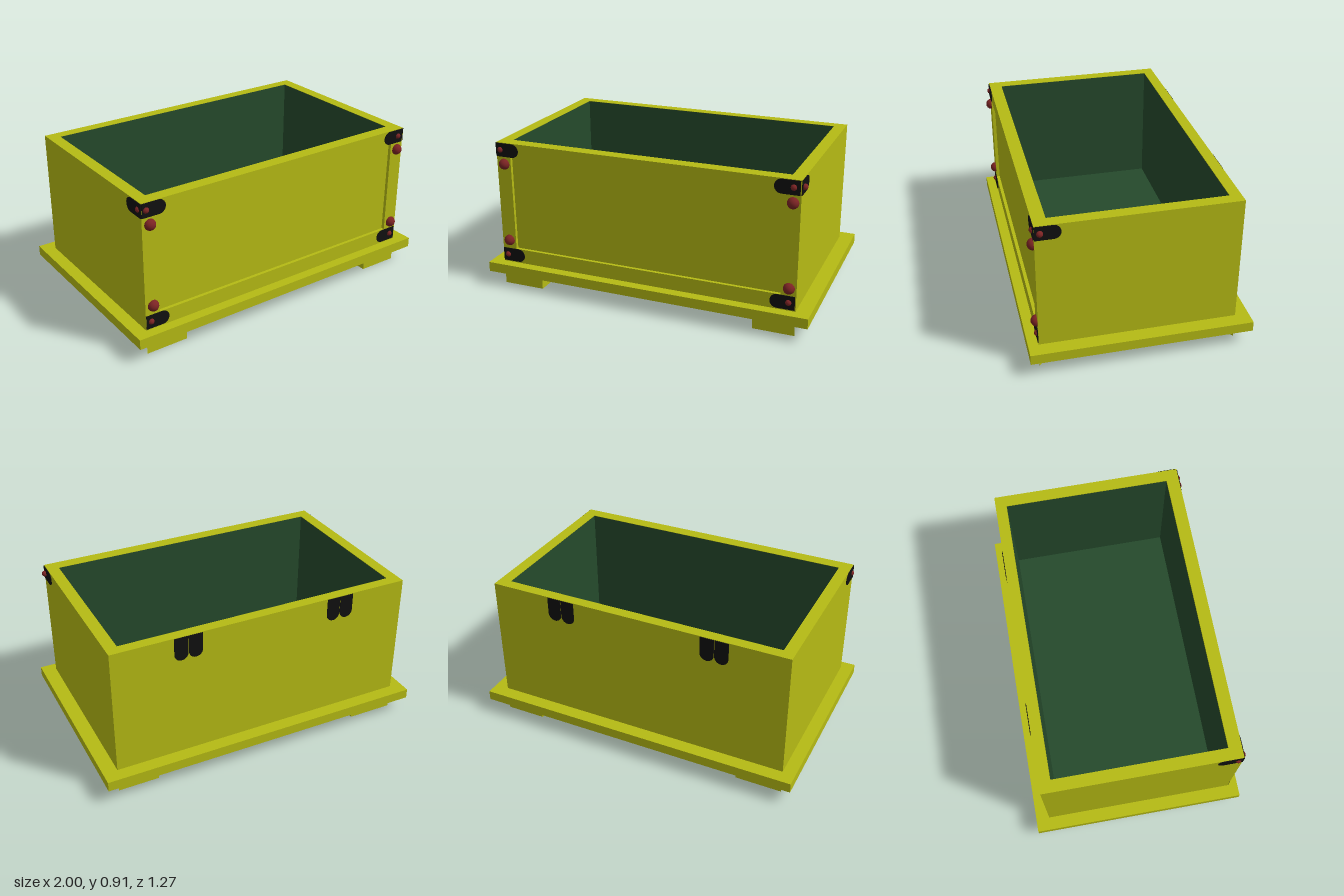
import * as THREE from 'three';

const mat = (color) => new THREE.MeshStandardMaterial({ color });

// Rectangle outline, as a shape or as a hole
function rect(x0, y0, x1, y1, Type = THREE.Shape) {
  const s = new Type();
  s.moveTo(x0, y0);
  s.lineTo(x1, y0);
  s.lineTo(x1, y1);
  s.lineTo(x0, y1);
  s.closePath();
  return s;
}

const extrude = (shape, depth) =>
  new THREE.ExtrudeGeometry(shape, { depth, bevelEnabled: false, curveSegments: 10 });

// Strap running along +x from the origin, with a rounded far end
function strapGeometry(length, width) {
  const r = width / 2;
  const s = new THREE.Shape();
  s.moveTo(0, -r);
  s.lineTo(length - r, -r);
  s.absarc(length - r, 0, r, -Math.PI / 2, Math.PI / 2, false);
  s.lineTo(0, r);
  s.closePath();
  return extrude(s, 0.005);
}

export function createModel() {
  const model = new THREE.Group();
  const yellow = mat(0xb5ba14), green = mat(0x254a2c), black = mat(0x101010), red = mat(0x7c2424);

  const add = (name, geometry, material, x = 0, y = 0, z = 0) => {
    const mesh = new THREE.Mesh(geometry, material);
    mesh.name = name;
    mesh.position.set(x, y, z);
    model.add(mesh);
    return mesh;
  };

  const L = -0.925, R = 0.915, B = -0.555, F = 0.575, bottom = 0.15, top = 0.91;
  const recess = 0.02;

  // Base board
  add('baseBoard', new THREE.BoxGeometry(2, 0.06, 1.27), yellow, 0, 0.12, 0);

  // Four walls as one ring; shape y becomes -z after the turn
  const ring = rect(L, -(F - recess), R, -B);
  ring.holes.push(rect(-0.855, -0.5, 0.845, 0.49, THREE.Path));
  add('walls', extrude(ring, top - bottom), yellow, 0, bottom, 0).rotation.x = -Math.PI / 2;

  // Raised frame around the sunken front panel
  const frame = rect(L, bottom, R, top);
  frame.holes.push(rect(-0.835, 0.24, 0.825, 0.825, THREE.Path));
  add('frontFrame', extrude(frame, recess), yellow, 0, 0, F - recess);

  // Green lining: floor and four inward-facing sides
  const x0 = -0.853, x1 = 0.843, z0 = -0.488, z1 = 0.498, floorY = 0.16;
  const w = x1 - x0, d = z1 - z0, h = top - floorY - 0.001;
  const cx = (x0 + x1) / 2, cz = (z0 + z1) / 2, cy = floorY + h / 2;
  add('innerFloor', new THREE.PlaneGeometry(w, d), green, cx, floorY, cz).rotation.x = -Math.PI / 2;
  for (const [name, width, x, z, turn] of [
    ['backLining', w, cx, z0, 0],
    ['frontLining', w, cx, z1, Math.PI],
    ['rightLining', d, x0, cz, Math.PI / 2],
    ['leftLining', d, x1, cz, -Math.PI / 2],
  ]) add(name, new THREE.PlaneGeometry(width, h), green, x, cy, z).rotation.y = turn;

  // Corner feet with a slanted notch on the outer side
  for (const [name, outer, inner, zOut, sz] of [
    ['frontLeftFoot', R, 0.67, F, 1],
    ['backLeftFoot', R, 0.67, B, -1],
    ['frontRightFoot', L, -0.668, F, 1],
    ['backRightFoot', L, -0.645, B, -1],
  ]) {
    const sx = Math.sign(outer);
    const s = new THREE.Shape([
      [outer, zOut],
      [outer - sx * 0.075, zOut - sz * 0.072],
      [outer - sx * 0.075, zOut - sz * 0.15],
      [inner, zOut - sz * 0.15],
      [inner, zOut],
    ].map(([x, z]) => new THREE.Vector2(x, -z)));
    add(name, extrude(s, 0.09), yellow).rotation.x = -Math.PI / 2;
  }

  // Corner straps on the front, and wrapped onto both sides at the top
  const strap = strapGeometry(0.143, 0.082);
  for (const y of [0.866, 0.198]) {
    add('frontStrap', strap, black, L + 0.002, y, F - 0.001);
    const left = add('frontStrap', strap, black, R - 0.006, y, F + 0.004);
    left.rotation.y = Math.PI;
  }
  add('sideStrap', strap, black, R - 0.001, 0.866, F).rotation.y = Math.PI / 2;
  add('sideStrap', strap, black, L - 0.004, 0.866, F).rotation.y = Math.PI / 2;

  // Paired hinge straps hanging down the back
  const hinge = strapGeometry(0.142, 0.082);
  for (const x of [-0.49, 0.465])
    for (const side of [-1, 1])
      add('hingeStrap', hinge, black, x + side * 0.043, top - 0.003, B - 0.004).rotation.z = -Math.PI / 2;

  // Red studs: small ones on the straps, large ones on the frame
  const small = new THREE.SphereGeometry(0.018, 16, 12);
  const large = new THREE.SphereGeometry(0.033, 20, 14);
  for (const [x, y] of [[-0.898, 0.867], [0.873, 0.867], [-0.893, 0.199], [0.873, 0.199]])
    add('strapStud', small, red, x, y, F);
  for (const x of [L + 0.003, R + 0.008]) add('sideStud', small, red, x, 0.867, 0.545);
  for (const [x, y] of [[-0.877, 0.78], [0.872, 0.78], [-0.877, 0.294], [0.872, 0.284]])
    add('frameStud', large, red, x, y, F);

  return model;
}
